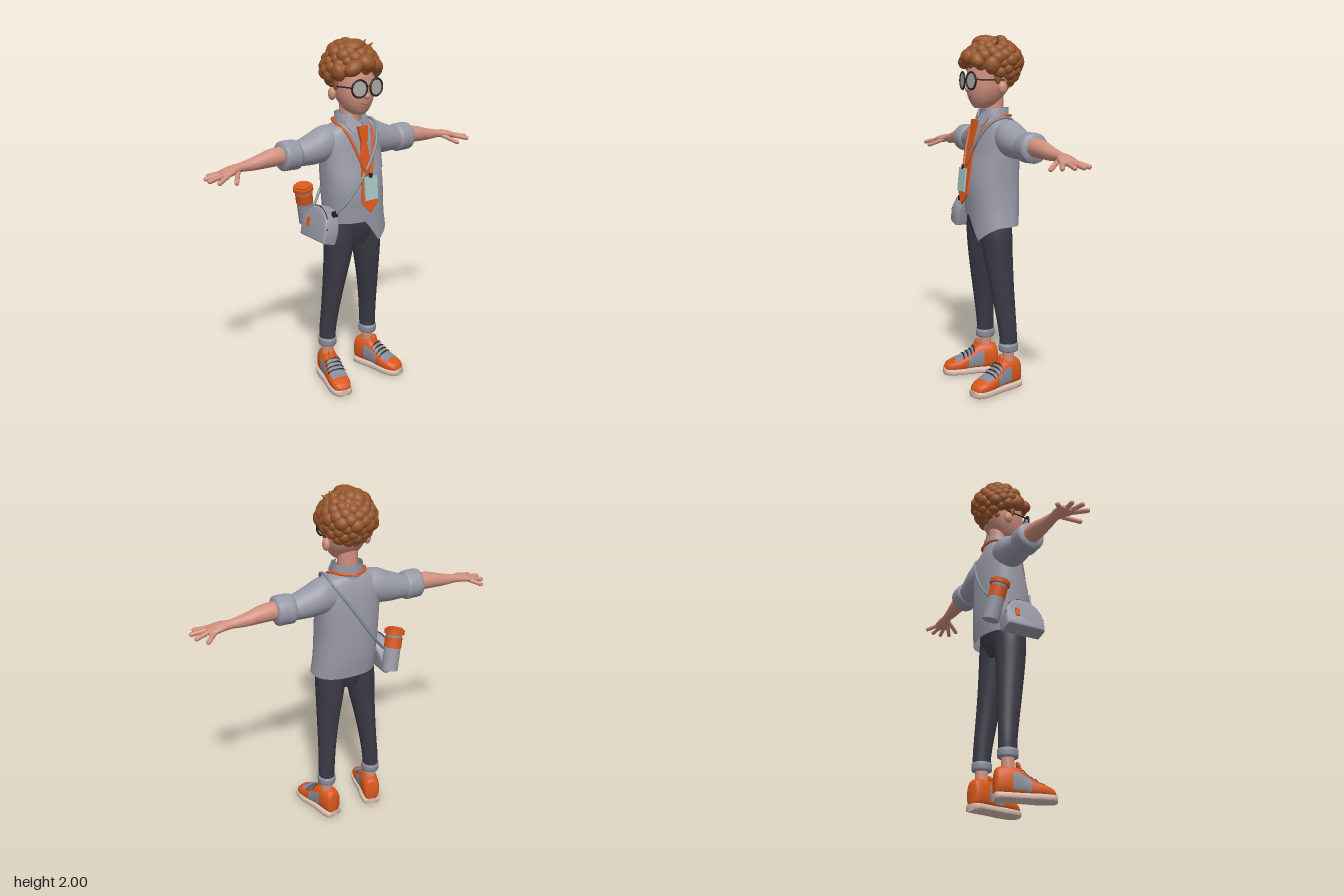
import * as THREE from 'three';
import { mergeGeometries, mergeVertices, toCreasedNormals } from 'three/addons/utils/BufferGeometryUtils.js';

const V = (x, y, z) => new THREE.Vector3(x, y, z);
const mat = (name, color, side = THREE.FrontSide) => new THREE.MeshStandardMaterial({ name, color, side });

// Skin over stations [x, y, z, ra, rb] with superellipse rings square to an axis
function loft(stations, axis, o = {}) {
  const { seg = 28, pow = 2, cap = true, u0 = 0, u1 = 1, v0 = 0, v1 = 1, grow = 0, rows = (stations.length - 1) * 4, warp } = o;
  const [e1, e2] = { x: [V(0, 1, 0), V(0, 0, 1)], y: [V(1, 0, 0), V(0, 0, -1)], z: [V(1, 0, 0), V(0, 1, 0)] }[axis];
  const mid = new THREE.CatmullRomCurve3(stations.map(s => V(s[0], s[1], s[2])), false, 'catmullrom', 0.5);
  const rad = new THREE.CatmullRomCurve3(stations.map(s => V(s[3], s[4], 0)), false, 'catmullrom', 0.5);
  const bend = c => Math.sign(c) * Math.abs(c) ** (2 / pow);
  const pos = [], index = [], rings = [];
  for (let j = 0; j <= rows; j++) rings.push([v0 + (v1 - v0) * j / rows, 1]);
  if (cap) { rings.unshift([v0, 0]); rings.push([v1, 0]); }
  for (const [v, k] of rings) {
    const c = mid.getPoint(v), r = rad.getPoint(v);
    for (let i = 0; i <= seg; i++) {
      const t = (u0 + (u1 - u0) * i / seg) * Math.PI * 2;
      const p = c.clone().addScaledVector(e1, k * (r.x + grow) * bend(Math.cos(t))).addScaledVector(e2, k * (r.y + grow) * bend(Math.sin(t)));
      if (warp) warp(p);
      pos.push(p.x, p.y, p.z);
    }
  }
  for (let j = 0; j < rings.length - 1; j++) for (let i = 0; i < seg; i++) {
    const a = j * (seg + 1) + i, b = a + 1, c = a + seg + 1, d = c + 1;
    index.push(a, b, d, a, d, c);
  }
  const g = new THREE.BufferGeometry();
  g.setAttribute('position', new THREE.Float32BufferAttribute(pos, 3));
  g.setIndex(index);
  return toCreasedNormals(mergeVertices(g, 1e-5), 0.9);
}

function mirrored(geo) {
  const g = geo.clone().scale(-1, 1, 1);
  const order = g.index ? [...g.index.array] : [...Array(g.attributes.position.count).keys()];
  g.setIndex(order.reverse());
  return g;
}

// Rod between two points, rounded or flat ended
function rod(a, b, r, round = true, r2 = r) {
  const d = b.clone().sub(a), L = d.length();
  const g = round ? new THREE.CapsuleGeometry(r, L, 5, 12) : new THREE.CylinderGeometry(r2, r, L, 24);
  g.applyQuaternion(new THREE.Quaternion().setFromUnitVectors(V(0, 1, 0), d.normalize()));
  return g.translate((a.x + b.x) / 2, (a.y + b.y) / 2, (a.z + b.z) / 2);
}
const ball = (x, y, z, rx, ry = rx, rz = rx) => new THREE.SphereGeometry(1, 18, 12).scale(rx, ry, rz).translate(x, y, z);
const tube = (pts, r) => new THREE.TubeGeometry(new THREE.CatmullRomCurve3(pts.map(p => V(...p))), 48, r, 8);
const plate = (pts, depth) => new THREE.ExtrudeGeometry(new THREE.Shape(pts.map(p => new THREE.Vector2(...p))), { depth, bevelEnabled: false });

export function createModel() {
  const root = new THREE.Group();
  const skin = mat('skin', 0xd0907e), hair = mat('hair', 0x96552b), shirt = mat('shirtGrey', 0x9799a6, THREE.DoubleSide);
  const pants = mat('trousers', 0x3b3a45), orange = mat('orange', 0xd9581c), sole = mat('sole', 0xd8bcb0);
  const pale = mat('paleBlue', 0xa9c6c6), dark = mat('black', 0x242428, THREE.DoubleSide), trim = mat('trimGrey', 0x868c99, THREE.DoubleSide);
  const lensMat = mat('lens', 0xb3aaa5, THREE.DoubleSide);
  const add = (name, geo, m, parent = root) => {
    const mesh = new THREE.Mesh(geo, m);
    mesh.name = name;
    parent.add(mesh);
    return mesh;
  };
  const pair = (name, geo, m) => { add(name + 'Left', geo, m); add(name + 'Right', mirrored(geo), m); };

  // Shirt with an untucked tail at the front left
  const body = [[.022, .95, .005, .185, .13], [.01, 1.06, 0, .18, .14], [0, 1.2, 0, .18, .145], [0, 1.35, -.015, .185, .125],
    [0, 1.45, -.02, .185, .108], [0, 1.52, -.02, .15, .088], [0, 1.55, -.02, .068, .066]];
  const hem = p => {
    if (p.y > 1.12) return;
    const front = THREE.MathUtils.smoothstep(p.z, -.02, .08), fade = Math.min(1, (1.12 - p.y) / .17);
    const y = p.x < 0 ? 1 : p.x < .1 ? 1 - p.x * 1.35 : .865 + (p.x - .1) * .78;
    p.y += (y - .95) * front * fade;
  };
  add('shirtBody', loft(body, 'y', { seg: 64, pow: 2.4, cap: false, warp: hem }), shirt);
  add('chestPocket', loft(body, 'y', { seg: 10, pow: 2.4, cap: false, u0: .783, u1: .905, v0: .42, v1: .565, grow: .005, rows: 8 }), shirt);
  pair('sleeve', loft([[.08, 1.44, -.03, .095, .08], [.17, 1.437, -.035, .1, .088], [.25, 1.417, -.037, .085, .083], [.35, 1.4, -.04, .064, .068]], 'x'), shirt);
  pair('sleeveCuff', loft([[.335, 1.4, -.04, .068, .07], [.35, 1.402, -.04, .08, .08], [.39, 1.404, -.04, .081, .082], [.43, 1.404, -.04, .08, .08], [.44, 1.404, -.04, .07, .07]], 'x'), shirt);
  add('collar', loft([[0, 1.52, -.02, .092, .088], [0, 1.56, -.02, .087, .083], [0, 1.6, -.025, .08, .078]], 'y', { cap: false, u0: .82, u1: 1.68 }), shirt);
  pair('collarPoint', plate([[.075, 1.6], [.015, 1.555], [.045, 1.49], [.088, 1.54]], .008)
    .translate(0, -1.55, 0).rotateX(-.3).rotateY(.35).translate(-.005, 1.55, .075), shirt);

  // Arms and hands
  pair('forearm', loft([[.4, 1.408, -.04, .05, .05], [.5, 1.405, -.04, .048, .047], [.6, 1.39, -.042, .035, .036], [.68, 1.383, -.042, .024, .029],
    [.73, 1.378, -.035, .024, .043], [.78, 1.367, -.03, .021, .052], [.805, 1.362, -.03, .012, .042]], 'x'), skin);
  const fingers = [[.78, 1.365, .01, .85, 1.347, .05], [.79, 1.365, -.012, .879, 1.35, 0], [.79, 1.365, -.04, .87, 1.348, -.057],
    [.775, 1.365, -.065, .828, 1.345, -.115], [.71, 1.37, -.015, .762, 1.335, .06]];
  pair('fingers', mergeGeometries(fingers.map(([a, b, c, d, e, f]) => rod(V(a, b, c), V(d, e, f), .0125))), skin);

  // Trousers
  add('trouserSeat', loft([[0, .85, .01, .08, .07], [0, .92, .01, .165, .093], [0, 1, .01, .168, .108], [0, 1.06, .01, .15, .11]], 'y', { pow: 2.3 }), pants);
  pair('trouserLeg', loft([[.15, .24, -.038, .045, .05], [.148, .32, -.037, .047, .052], [.138, .45, -.025, .05, .06], [.124, .6, -.01, .06, .07],
    [.105, .77, .004, .077, .083], [.092, .9, .01, .089, .09], [.085, 1, .01, .08, .09]], 'y'), pants);
  pair('trouserCuff', loft([[.15, .222, -.038, .047, .05], [.15, .228, -.038, .052, .056], [.15, .262, -.038, .053, .057], [.15, .27, -.038, .046, .05]], 'y'), trim);
  pair('ankle', rod(V(.15, .12, -.038), V(.15, .24, -.038), .035, false), skin);

  // High-top shoes, toes turned out
  const place = g => g.rotateY(.24).translate(.143, 0, -.055);
  const last = [[-.055, .13, .03], [-.045, .165, .045], [-.01, .178, .052], [.04, .178, .052], [.08, .165, .051], [.12, .13, .054],
    [.17, .102, .059], [.22, .086, .056], [.255, .068, .044], [.27, .048, .02]].map(([z, h, w]) => [0, (h + .02) / 2, z, w, (h - .02) / 2]);
  const patch = (u0, u1, v0, v1, grow) => place(loft(last, 'z', { seg: 10, pow: 2.6, cap: false, u0, u1, v0, v1, grow, rows: 8 }));
  pair('shoeUpper', place(loft(last, 'z', { pow: 2.6 })), orange);
  pair('shoeSole', place(loft(last.map(([, , z, w]) => [0, .019, z * 1.02, w + .006, .019]), 'z', { pow: 5 })), sole);
  pair('shoeTongue', place(new THREE.CapsuleGeometry(.022, .05, 4, 12).scale(1, 1, .5).rotateX(-.35).translate(0, .163, .082)), orange);
  pair('shoeVamp', patch(.13, .37, .5, .75, .003), trim);
  pair('shoeSidePanels', mergeGeometries([patch(-.08, .07, .32, .58, .003), patch(.43, .58, .32, .58, .003)]), trim);
  pair('shoeLaces', mergeGeometries([.48, .53, .58, .63].map(v => patch(.1, .4, v, v + .018, .008))), dark);

  // Head
  add('neck', rod(V(0, 1.49, -.02), V(0, 1.68, -.02), .055, false), skin);
  add('head', loft([[0, 1.598, .06, .03, .035], [0, 1.62, .045, .062, .067], [0, 1.66, .033, .088, .097], [0, 1.71, .018, .106, .12],
    [0, 1.78, 0, .115, .135], [0, 1.86, -.02, .12, .135], [0, 1.93, -.02, .08, .1]], 'y', { pow: 2.15 }), skin);
  add('nose', ball(0, 1.703, .136, .019, .017, .019), skin);
  pair('ear', ball(.122, 1.71, -.012, .02, .035, .026), skin);
  add('mouth', new THREE.TorusGeometry(.034, .0025, 6, 20, 1.7).rotateZ(-Math.PI / 2 - .85).translate(0, 1.69, .129), hair);

  // Round glasses
  const lensAt = g => g.rotateY(.14).translate(.056, 1.748, .146);
  pair('glassesRim', lensAt(new THREE.TorusGeometry(.046, .0055, 8, 36)), dark);
  pair('glassesLens', lensAt(new THREE.CircleGeometry(.044, 32)), lensMat);
  pair('glassesTemple', rod(V(.101, 1.755, .138), V(.127, 1.752, -.02), .004), dark);
  add('glassesBridge', tube([[-.012, 1.752, .152], [0, 1.758, .155], [.012, 1.752, .152]], .004), dark);

  // Curly hair: a cap covered with rounded curls, fringe and cowlick
  const curls = [ball(0, 1.858, -.03, .135, .12, .14)];
  const N = 110;
  for (let i = 0; i < N; i++) {
    const h = 1 - 2 * (i + .5) / N, q = Math.sqrt(1 - h * h), t = i * 2.39996;
    const x = .125 * q * Math.cos(t), y = 1.842 + .118 * h, z = -.018 + .132 * q * Math.sin(t);
    const low = z > .04 ? 1.83 : z > -.035 ? 1.785 : 1.7;
    if (y < low) continue;
    const r = .033 + .011 * ((i * 7) % 5) / 4;
    curls.push(ball(x, y, z, r, r * .95, r));
  }
  for (const [x, y, z, rx, ry, rz, turn] of [[-.07, 1.855, .115, .06, .04, .045, .5], [0, 1.875, .133, .055, .045, .045, -.3], [.065, 1.86, .115, .055, .04, .045, -.6],
    [-.125, 1.83, .05, .035, .05, .045, .2], [.125, 1.83, .05, .035, .05, .045, -.2], [-.02, 1.955, .03, .07, .04, .07, .2]])
    curls.push(ball(0, 0, 0, rx, ry, rz).rotateZ(turn).translate(x, y, z));
  for (const s of [-1, 1]) curls.push(ball(s * .117, 1.765, .015, .014, .035, .018));
  curls.push(rod(V(.06, 1.94, -.01), V(.095, 1.985, .005), .018, false, .002), rod(V(.08, 1.93, .01), V(.13, 1.965, .02), .018, false, .002));
  add('hair', mergeGeometries(curls), hair);

  // Tie, lanyard and badge
  const tie = add('tie', plate([[-.02, -.045], [.02, -.045], [.055, -.385], [0, -.445], [-.055, -.385]], .008), orange);
  const knot = add('tieKnot', plate([[-.032, .035], [.032, .035], [.02, -.05], [-.02, -.05]], .018), orange);
  for (const m of [tie, knot]) { m.position.set(0, 1.5, .095); m.rotation.x = -.188; }
  pair('lanyard', tube([[0, 1.55, -.115], [.065, 1.557, -.09], [.1, 1.553, -.02], [.085, 1.5, .075], [.055, 1.4, .122], [.028, 1.32, .148], [0, 1.265, .168]], .008), orange);
  const badge = add('badge', new THREE.BoxGeometry(.086, .13, .009), pale);
  badge.position.set(0, 1.205, .178);
  badge.rotation.x = -.1;
  add('badgeClip', new THREE.BoxGeometry(.02, .025, .014).translate(0, 1.275, .17), dark);

  // Cross-body bag on the right hip
  const dome = new THREE.Shape();
  dome.moveTo(-.1, 0).lineTo(.1, 0);
  dome.bezierCurveTo(.115, .1, .07, .16, 0, .16).bezierCurveTo(-.07, .16, -.115, .1, -.1, 0);
  const bag = new THREE.Group();
  bag.name = 'bag';
  add('bagBody', toCreasedNormals(new THREE.ExtrudeGeometry(dome, { depth: .06, bevelSize: .016, bevelThickness: .018, bevelSegments: 4, curveSegments: 16 })
    .translate(0, 0, -.03).rotateY(Math.PI / 2), .7), shirt, bag);
  add('bagTag', new THREE.BoxGeometry(.006, .05, .025).translate(-.05, .07, -.05), orange, bag);
  add('bagZip', tube([[-.036, .06, .116], [-.036, .14, .08], [-.036, .174, 0], [-.036, .14, -.08], [-.036, .06, -.116]], .004), dark, bag);
  bag.position.set(-.24, .928, .01);
  bag.rotation.z = -.25;
  root.add(bag);
  add('bagStrap', tube([[-.19, 1.07, .1], [-.125, 1.14, .135], [0, 1.31, .145], [.08, 1.43, .118], [.128, 1.525, .055], [.14, 1.55, -.03],
    [.12, 1.5, -.105], [.04, 1.38, -.146], [-.08, 1.2, -.152], [-.19, 1.07, -.1]], .008), trim);
  add('strapBuckle', new THREE.BoxGeometry(.03, .03, .02).translate(-.19, 1.07, .1), dark);

  // Bottle leaning behind the bag
  const base = V(-.195, .962, -.165), top = V(-.245, 1.195, -.128);
  for (const [name, from, to, r, m] of [['bottleBase', 0, .55, .046, shirt], ['bottleBand', .55, .8, .049, orange],
    ['bottleNeck', .8, .87, .045, trim], ['bottleLid', .87, .96, .057, orange], ['bottleLidTop', .96, 1, .046, orange]])
    add(name, rod(base.clone().lerp(top, from), base.clone().lerp(top, to), r, false), m);

  return root;
}
